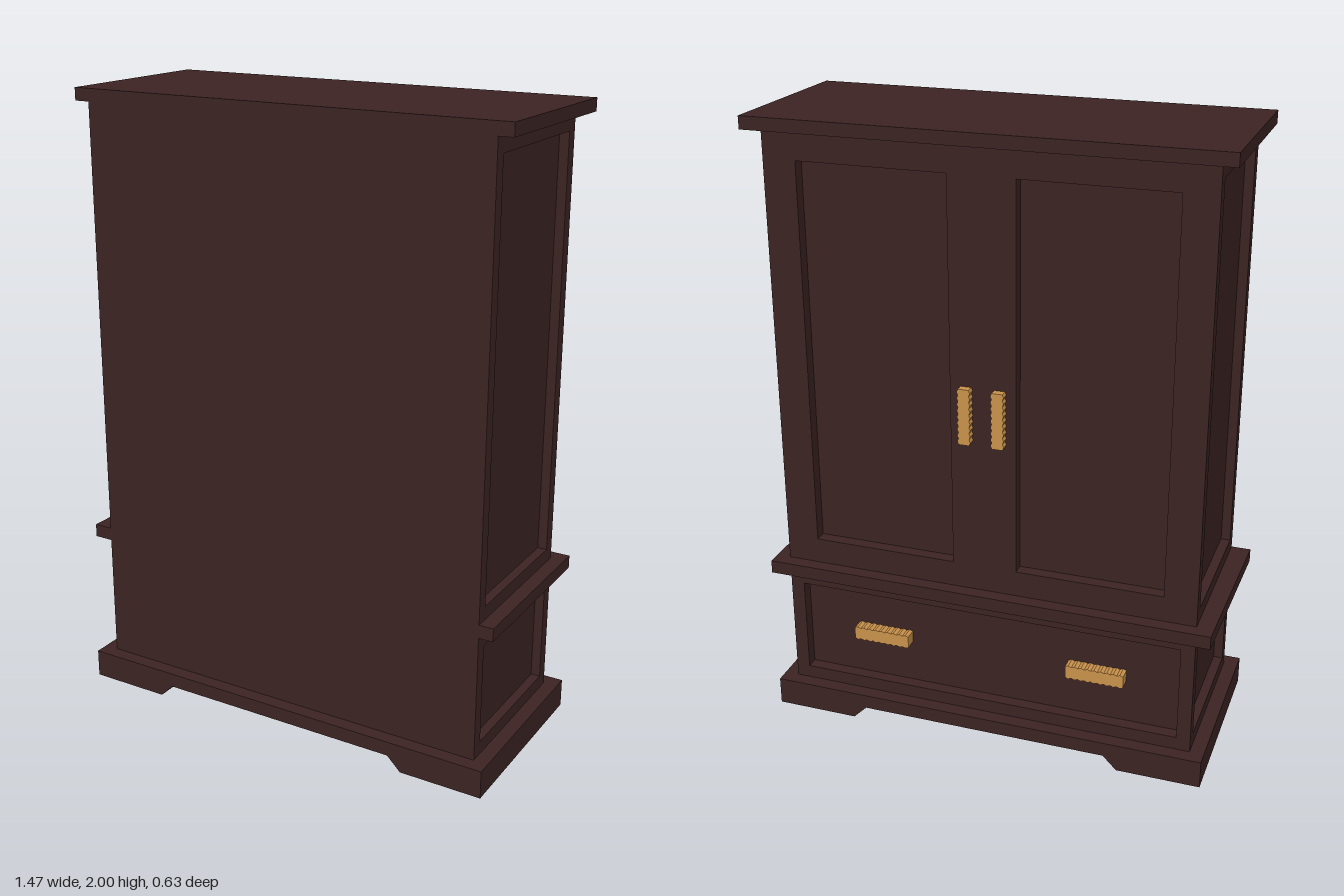
import * as THREE from 'three';

const wood = new THREE.MeshStandardMaterial({ color: 0x3c2323 });
wood.name = 'dark wood';
const brass = new THREE.MeshStandardMaterial({ color: 0xc8914a });
brass.name = 'brass';

function add(parent, name, geometry, material, x = 0, y = 0, z = 0) {
  const mesh = new THREE.Mesh(geometry, material);
  mesh.name = name;
  mesh.position.set(x, y, z);
  parent.add(mesh);
  return mesh;
}

// box given by its lower and upper corners
function block(parent, name, [x0, y0, z0], [x1, y1, z1]) {
  return add(parent, name, new THREE.BoxGeometry(x1 - x0, y1 - y0, z1 - z0), wood,
    (x0 + x1) / 2, (y0 + y1) / 2, (z0 + z1) / 2);
}

const corners = (x0, y0, x1, y1) =>
  [[x0, y0], [x1, y0], [x1, y1], [x0, y1]].map(([x, y]) => new THREE.Vector2(x, y));

function extrude(points, depth, holes = []) {
  const shape = new THREE.Shape(points.map((p) => (Array.isArray(p) ? new THREE.Vector2(...p) : p)));
  for (const h of holes) shape.holes.push(new THREE.Path(corners(...h).reverse()));
  return new THREE.ExtrudeGeometry(shape, { depth, bevelEnabled: false });
}

// finely ribbed pull, long side along y
function handleGeometry(length, width, depth) {
  const ribs = 9, points = [];
  for (const side of [1, -1]) {
    for (let i = 0; i <= ribs * 2; i++) {
      const y = side * (-length / 2 + (length * i) / (ribs * 2));
      points.push([side * (width / 2 - (i % 2 ? 0 : 0.004)), y]);
    }
  }
  return extrude(points, depth);
}

export function createModel() {
  const model = new THREE.Group();
  model.name = 'wardrobe';

  // carcass with recessed panels
  const body = new THREE.Group();
  body.name = 'body';
  body.position.x = 0.006;
  model.add(body);
  block(body, 'carcass', [-0.65, 0.09, -0.23], [0.65, 1.96, 0.27]);

  add(body, 'doorAndDrawerFrame', extrude(corners(-0.65, 0.09, 0.65, 1.96), 0.04, [
    [-0.575, 0.63, -0.104, 1.87],
    [0.104, 0.63, 0.575, 1.87],
    [-0.635, 0.135, 0.635, 0.455],
  ]), wood, 0, 0, -0.27);

  const sideFrame = extrude(corners(-0.27, 0.09, 0.27, 1.96), 0.03, [
    [-0.23, 0.59, 0.23, 1.91],
    [-0.23, 0.135, 0.23, 0.46],
  ]).rotateY(Math.PI / 2);
  add(body, 'leftSideFrame', sideFrame, wood, 0.65);
  add(body, 'rightSideFrame', sideFrame, wood, -0.68);

  // pulls
  const doorPull = handleGeometry(0.18, 0.042, 0.025);
  const drawerPull = handleGeometry(0.19, 0.048, 0.04).rotateZ(Math.PI / 2);
  for (const s of [1, -1]) {
    add(body, 'doorHandle', doorPull, brass, s * 0.053, 1.14, -0.295);
    add(body, 'drawerHandle', drawerPull, brass, s * 0.363, 0.3, -0.27);
  }

  // cornice, and waist moulding with a slightly splayed end
  block(model, 'topBoard', [-0.725, 1.96, -0.315], [0.732, 2, 0.27]);
  const waist = extrude([[-0.727, 0.315], [-0.737, -0.27], [0.732, -0.27], [0.732, 0.315]], 0.043)
    .rotateX(-Math.PI / 2);
  add(model, 'waistMoulding', waist, wood, 0, 0.503, 0);

  // plinth with a cut-out between its feet
  add(model, 'plinth', extrude([
    [-0.72, 0], [-0.45, 0], [-0.405, 0.045], [0.415, 0.045],
    [0.46, 0], [0.732, 0], [0.732, 0.092], [-0.72, 0.092],
  ], 0.632), wood, 0, 0, -0.316);

  return model;
}
